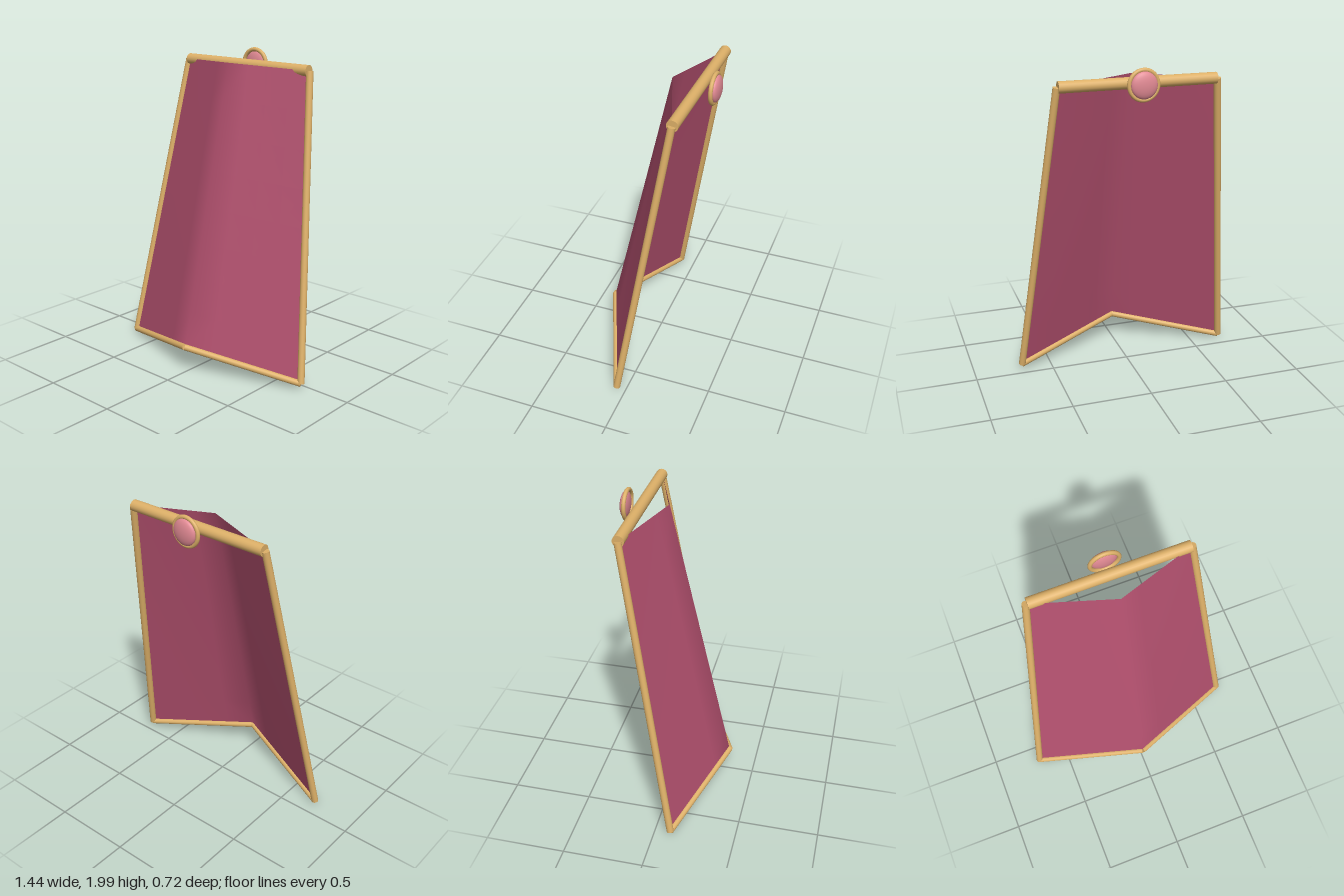
import * as THREE from 'three';

const V = (x, y, z) => new THREE.Vector3(x, y, z);
const gold = new THREE.MeshStandardMaterial({ color: 0xddb068 });
const clothMat = new THREE.MeshStandardMaterial({ color: 0xb2506e, side: THREE.DoubleSide });
const pink = new THREE.MeshStandardMaterial({ color: 0xe28a94 });

// Corners and centre fold of the hanging, [left-hand side, fold, right-hand side] in x order
const top = [V(-0.49, 1.9, -0.235), V(0, 1.925, -0.065), V(0.49, 1.9, -0.235)];
const bottom = [V(-0.7, 0.03, 0.1), V(0, 0.178, 0.34), V(0.695, 0.05, 0.05)];

function add(group, name, geometry, material) {
  const mesh = new THREE.Mesh(geometry, material);
  mesh.name = name;
  group.add(mesh);
  return mesh;
}

// Straight round bar between two points
function rod(group, name, a, b, radius) {
  const dir = b.clone().sub(a);
  const mesh = add(group, name, new THREE.CylinderGeometry(radius, radius, dir.length(), 20), gold);
  mesh.position.copy(a).add(b).multiplyScalar(0.5);
  mesh.quaternion.setFromUnitVectors(V(0, 1, 0), dir.normalize());
  return mesh;
}

// Point along a three-point row, u from 0 to 1
function along(row, u) {
  return u <= 0.5 ? row[0].clone().lerp(row[1], u * 2) : row[1].clone().lerp(row[2], u * 2 - 1);
}

export function createModel() {
  const group = new THREE.Group();
  group.name = 'hangingCloth';

  // Cloth folded along its centre, ruled between the top and bottom rows
  const sheet = new THREE.PlaneGeometry(1, 1, 8, 8);
  const pos = sheet.attributes.position;
  for (let i = 0; i < pos.count; i++) {
    const u = pos.getX(i) + 0.5, v = pos.getY(i) + 0.5;
    const p = along(bottom, u).lerp(along(top, u), v);
    pos.setXYZ(i, p.x, p.y, p.z);
  }
  sheet.computeVertexNormals();
  add(group, 'cloth', sheet, clothMat);

  // Border rods down the sides and along the folded hem
  for (const [i, side] of [[0, 'right'], [2, 'left']]) {
    rod(group, side + 'SideRod', bottom[i], top[i], 0.022);
    rod(group, side + 'HemRod', bottom[i], bottom[1], 0.02);
  }

  // Thick bar across the top
  rod(group, 'topBar', V(-0.483, 1.9, -0.235), V(0.483, 1.9, -0.235), 0.035);

  // Round clasp behind the bar
  const clasp = new THREE.Group();
  clasp.name = 'clasp';
  clasp.position.set(0, 1.9, -0.32);
  add(clasp, 'claspRing', new THREE.TorusGeometry(0.087, 0.013, 12, 40), gold);
  const gem = add(clasp, 'claspGem', new THREE.SphereGeometry(1, 32, 20), pink);
  gem.scale.set(0.08, 0.08, 0.028);
  gem.position.z = -0.012;
  group.add(clasp);

  return group;
}
